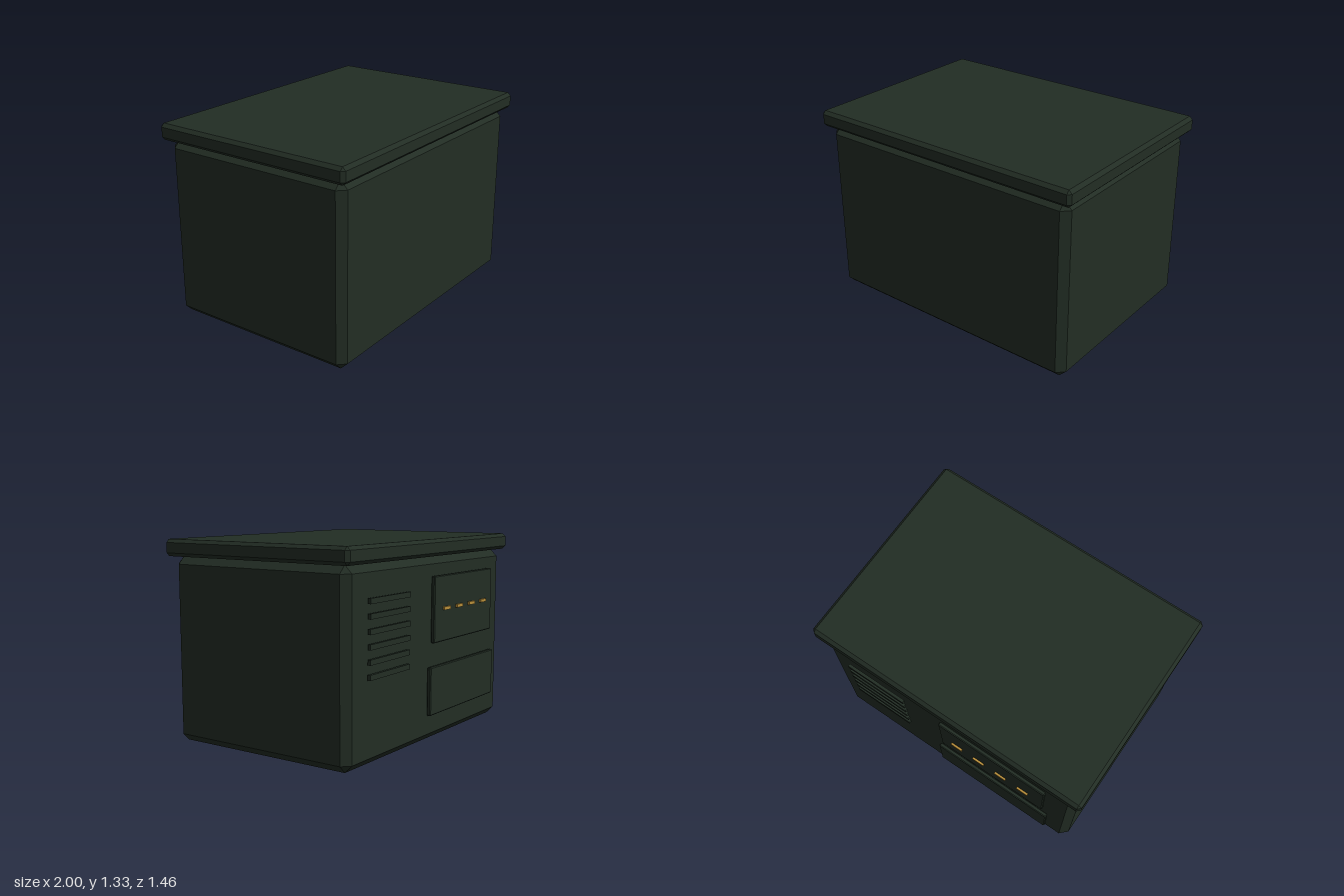
import * as THREE from 'three';
import { ConvexGeometry } from 'three/addons/geometries/ConvexGeometry.js';

// Box given by its limits, with every edge cut by a flat chamfer c
function chamferBox([x0, x1], [y0, y1], [z0, z1], c) {
  const hx = (x1 - x0) / 2, hy = (y1 - y0) / 2, hz = (z1 - z0) / 2;
  const points = [];
  for (const sx of [-1, 1]) for (const sy of [-1, 1]) for (const sz of [-1, 1]) {
    points.push(
      new THREE.Vector3(sx * hx, sy * (hy - c), sz * (hz - c)),
      new THREE.Vector3(sx * (hx - c), sy * hy, sz * (hz - c)),
      new THREE.Vector3(sx * (hx - c), sy * (hy - c), sz * hz));
  }
  return new ConvexGeometry(points).translate((x0 + x1) / 2, (y0 + y1) / 2, (z0 + z1) / 2);
}

export function createModel() {
  const model = new THREE.Group();
  model.name = 'cabinet';

  const darkGreen = new THREE.MeshStandardMaterial({ color: 0x222d24 });
  darkGreen.name = 'dark green';
  const brass = new THREE.MeshStandardMaterial({ color: 0xb98f3a });
  brass.name = 'brass';

  const add = (name, geometry, material = darkGreen, parent = model) => {
    const mesh = new THREE.Mesh(geometry, material);
    mesh.name = name;
    parent.add(mesh);
    return mesh;
  };

  // Main case and overhanging lid
  add('body', chamferBox([-0.96, 0.96], [0, 1.215], [-0.672, 0.694], 0.05));
  add('lid', chamferBox([-1, 1], [1.215, 1.325], [-0.708, 0.73], 0.022));

  // Two plates standing just off the back
  add('upperBackPanel', chamferBox([-0.76, 0.04], [0.655, 1.09], [-0.71, -0.682], 0.006));
  add('lowerBackPanel', chamferBox([-0.8, 0.08], [0.182, 0.502], [-0.711, -0.682], 0.006));

  // Row of brass contacts on the upper plate
  const contacts = new THREE.Group();
  contacts.name = 'contacts';
  model.add(contacts);
  for (let i = 0; i < 4; i++) {
    const geometry = new THREE.BoxGeometry(0.083, 0.021, 0.014);
    add('contact', geometry, brass, contacts).position.set(-0.61 + i * 0.17, 0.874, -0.721);
  }

  // Stack of vent slats
  const vents = new THREE.Group();
  vents.name = 'ventSlats';
  model.add(vents);
  for (let i = 0; i < 6; i++) {
    const geometry = new THREE.BoxGeometry(0.44, 0.034, 0.02);
    add('ventSlat', geometry, darkGreen, vents).position.set(0.55, 0.55 + i * 0.09, -0.696);
  }

  return model;
}
